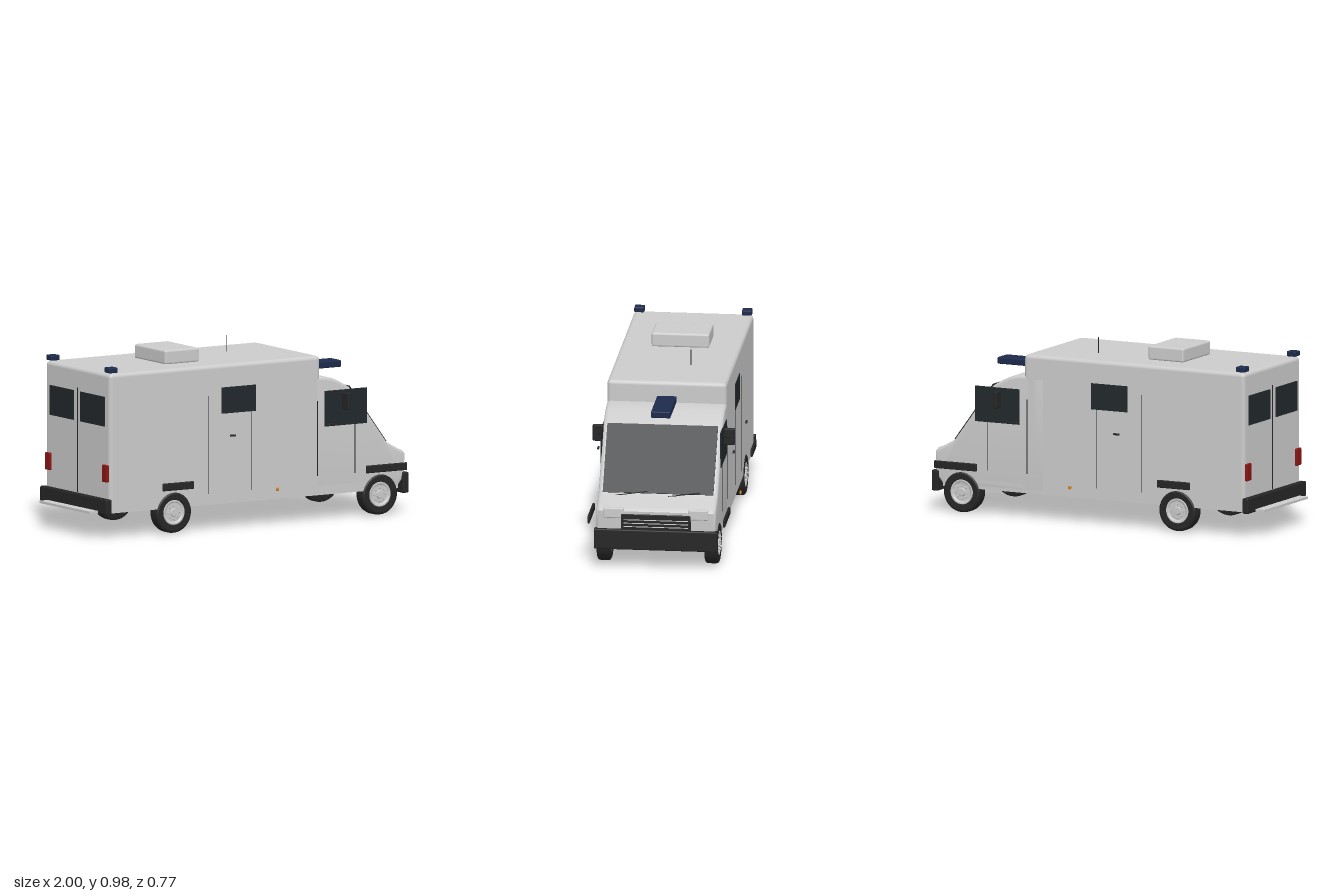
import * as THREE from 'three';
import { toCreasedNormals } from 'three/addons/utils/BufferGeometryUtils.js';
import { RoundedBoxGeometry } from 'three/addons/geometries/RoundedBoxGeometry.js';

const mat = (color) => new THREE.MeshStandardMaterial({ color });
const grey = mat(0xcccccc), black = mat(0x262626), glass = mat(0x22282c);
const navy = mat(0x1c2a4c), red = mat(0x8c1414), amber = mat(0xd08a1c);

export function createModel() {
  const model = new THREE.Group();

  const add = (name, geo, material, parent = model) => {
    const m = new THREE.Mesh(geo, material);
    m.name = name;
    parent.add(m);
    return m;
  };
  // box given by its ranges along x, y and z; r rounds its edges
  const block = (name, x, y, z, material, r = 0, parent = model) => {
    const s = [x[1] - x[0], y[1] - y[0], z[1] - z[0]];
    const geo = r ? new RoundedBoxGeometry(...s, 3, r) : new THREE.BoxGeometry(...s);
    const m = add(name, geo, material, parent);
    m.position.set((x[0] + x[1]) / 2, (y[0] + y[1]) / 2, (z[0] + z[1]) / 2);
    return m;
  };
  // the same box on both sides of the vehicle
  const pair = (name, x, y, z, material, r = 0) => {
    block(name + 'Left', x, y, z, material, r);
    block(name + 'Right', x, y, [-z[1], -z[0]], material, r);
  };
  // thin rod between two points
  const rod = (name, a, b, radius, material) => {
    const p = new THREE.Vector3(...a), q = new THREE.Vector3(...b);
    const m = add(name, new THREE.CylinderGeometry(radius, radius, p.distanceTo(q), 8), material);
    m.position.copy(p).lerp(q, 0.5);
    m.quaternion.setFromUnitVectors(new THREE.Vector3(0, 1, 0), q.clone().sub(p).normalize());
    return m;
  };

  // cargo body and floor
  block('cargoBody', [-0.915, 0.435], [0.14, 0.9], [-0.325, 0.325], grey, 0.022);
  block('floor', [-0.915, 0.93], [0.14, 0.19], [-0.325, 0.325], grey);

  // cab: side profile extruded across the width
  const cab = new THREE.Shape();
  cab.moveTo(0.3, 0.14);
  cab.lineTo(0.925, 0.14);
  cab.lineTo(0.975, 0.2);
  cab.lineTo(0.982, 0.325);
  cab.quadraticCurveTo(0.975, 0.34, 0.95, 0.35);
  cab.lineTo(0.885, 0.385);
  cab.quadraticCurveTo(0.868, 0.392, 0.855, 0.41);
  cab.lineTo(0.645, 0.695);
  cab.quadraticCurveTo(0.63, 0.714, 0.605, 0.727);
  cab.quadraticCurveTo(0.54, 0.765, 0.51, 0.773);
  cab.quadraticCurveTo(0.47, 0.785, 0.42, 0.785);
  cab.lineTo(0.3, 0.785);
  const cabGeo = new THREE.ExtrudeGeometry(cab, {
    depth: 0.61, curveSegments: 6, bevelEnabled: true, bevelSize: 0.018,
    bevelOffset: -0.018, bevelThickness: 0.02, bevelSegments: 4,
  }).translate(0, 0, -0.305);
  add('cab', toCreasedNormals(cabGeo, 0.5), grey);

  // windscreen laid on the slope
  const slope = Math.atan2(0.32, 0.235);
  const screen = add('windscreen', new THREE.BoxGeometry(0.397, 0.014, 0.602), glass);
  screen.position.set(0.749, 0.555, 0);
  screen.rotation.z = -slope;
  for (const [i, z] of [0.23, -0.055].entries())
    rod('wiper' + i, [0.881, 0.385, z], [0.868, 0.408, z - 0.173], 0.0028, black);

  // side and rear windows
  pair('sideWindow', [-0.2, 0.02], [0.632, 0.775], [0.32, 0.329], glass);
  pair('cabWindow', [0.46, 0.73], [0.512, 0.706], [0.322, 0.329], glass);
  pair('rearWindow', [-0.921, -0.91], [0.61, 0.772], [0.035, 0.275], glass);

  // door seams
  for (const [x, y0, y1] of [[-0.285, 0.2, 0.735], [-0.01, 0.2, 0.635],
    [0.415, 0.245, 0.655], [0.655, 0.245, 0.515]])
    pair('doorSeam', [x - 0.002, x + 0.002], [y0, y1], [0.32, 0.3268], black);
  block('rearDoorSeam', [-0.917, -0.91], [0.22, 0.79], [-0.002, 0.002], black);

  // side fittings
  for (const [x0, x1] of [[-0.605, -0.405], [0.7, 0.96]])
    pair('archStrip', [x0, x1], [0.243, 0.285], [0.362, 0.375], black, 0.005);
  pair('sideDoorHandle', [-0.173, -0.137], [0.509, 0.52], [0.363, 0.374], black, 0.004);
  pair('cabDoorHandle', [0.452, 0.486], [0.522, 0.533], [0.363, 0.374], black, 0.004);
  pair('sideMarker', [0.122, 0.14], [0.191, 0.209], [0.363, 0.373], amber, 0.004);

  // mirrors and their arms
  pair('mirror', [0.57, 0.588], [0.6, 0.692], [0.327, 0.387], black, 0.005);
  for (const s of [1, -1])
    rod('mirrorArm', [0.618, 0.66, s * 0.325], [0.579, 0.638, s * 0.362], 0.005, black);

  // front bumper, grille and headlights
  block('frontBumper', [0.955, 0.995], [0.112, 0.225], [-0.336, 0.336], black, 0.007);
  block('grille', [0.95, 0.988], [0.222, 0.31], [-0.19, 0.19], black, 0.003);
  for (const y of [0.242, 0.261, 0.28])
    block('grilleBar', [0.985, 0.991], [y - 0.002, y + 0.002], [-0.175, 0.175], grey);
  pair('headlight', [0.955, 0.986], [0.285, 0.343], [0.174, 0.285], grey, 0.008);

  // rear bumper, step and tail lights
  block('rearBumper', [-0.945, -0.908], [0.133, 0.217], [-0.335, 0.335], black, 0.007);
  block('rearStep', [-1, -0.91], [0.136, 0.149], [-0.252, 0.252], grey);
  pair('tailLight', [-0.928, -0.91], [0.308, 0.402], [0.262, 0.312], red, 0.005);

  // roof equipment
  block('roofUnit', [-0.454, -0.236], [0.897, 0.976], [-0.157, 0.157], grey, 0.012);
  block('lightBar', [0.433, 0.742], [0.785, 0.822], [-0.053, 0.053], navy, 0.006).position.y = 0.803;
  pair('rearBeacon', [-0.915, -0.86], [0.904, 0.933], [0.265, 0.32], navy, 0.006);
  rod('antenna', [0.1, 0.895, -0.095], [0.1, 0.988, -0.095], 0.002, black);

  // wheels, outer face towards +z before mirroring
  const tyre = [[0.064, -0.035], [0.1, -0.037], [0.11, -0.031], [0.1125, -0.02],
    [0.1125, 0.02], [0.11, 0.031], [0.1, 0.037], [0.07, 0.035], [0.064, 0.024]]
    .map((p) => new THREE.Vector2(...p));
  const rim = [[0.0001, 0.036], [0.02, 0.036], [0.023, 0.031], [0.05, 0.029],
    [0.058, 0.035], [0.066, 0.036], [0.068, 0.03]].map((p) => new THREE.Vector2(...p)).reverse();
  const tyreGeo = toCreasedNormals(new THREE.LatheGeometry(tyre, 40).rotateX(Math.PI / 2), 0.6);
  const rimGeo = toCreasedNormals(new THREE.LatheGeometry(rim, 40).rotateX(Math.PI / 2), 0.4);
  const backGeo = new THREE.CylinderGeometry(0.066, 0.066, 0.05, 32).rotateX(Math.PI / 2);
  const nutGeo = new THREE.CylinderGeometry(0.0055, 0.0055, 0.014, 6).rotateX(Math.PI / 2);
  for (const x of [-0.505, 0.815]) for (const s of [1, -1]) {
    const wheel = new THREE.Group();
    wheel.name = (x > 0 ? 'front' : 'rear') + 'Wheel' + (s > 0 ? 'Left' : 'Right');
    wheel.position.set(x, 0.1155, s * 0.293);
    if (s < 0) wheel.rotation.y = Math.PI;
    add('tyre', tyreGeo, black, wheel);
    add('rim', rimGeo, grey, wheel);
    add('wheelBack', backGeo, black, wheel).position.z = -0.008;
    for (let i = 0; i < 8; i++) {
      const a = (i * Math.PI) / 4;
      add('wheelNut', nutGeo, grey, wheel).position.set(0.036 * Math.cos(a), 0.036 * Math.sin(a), 0.036);
    }
    model.add(wheel);
  }
  return model;
}
